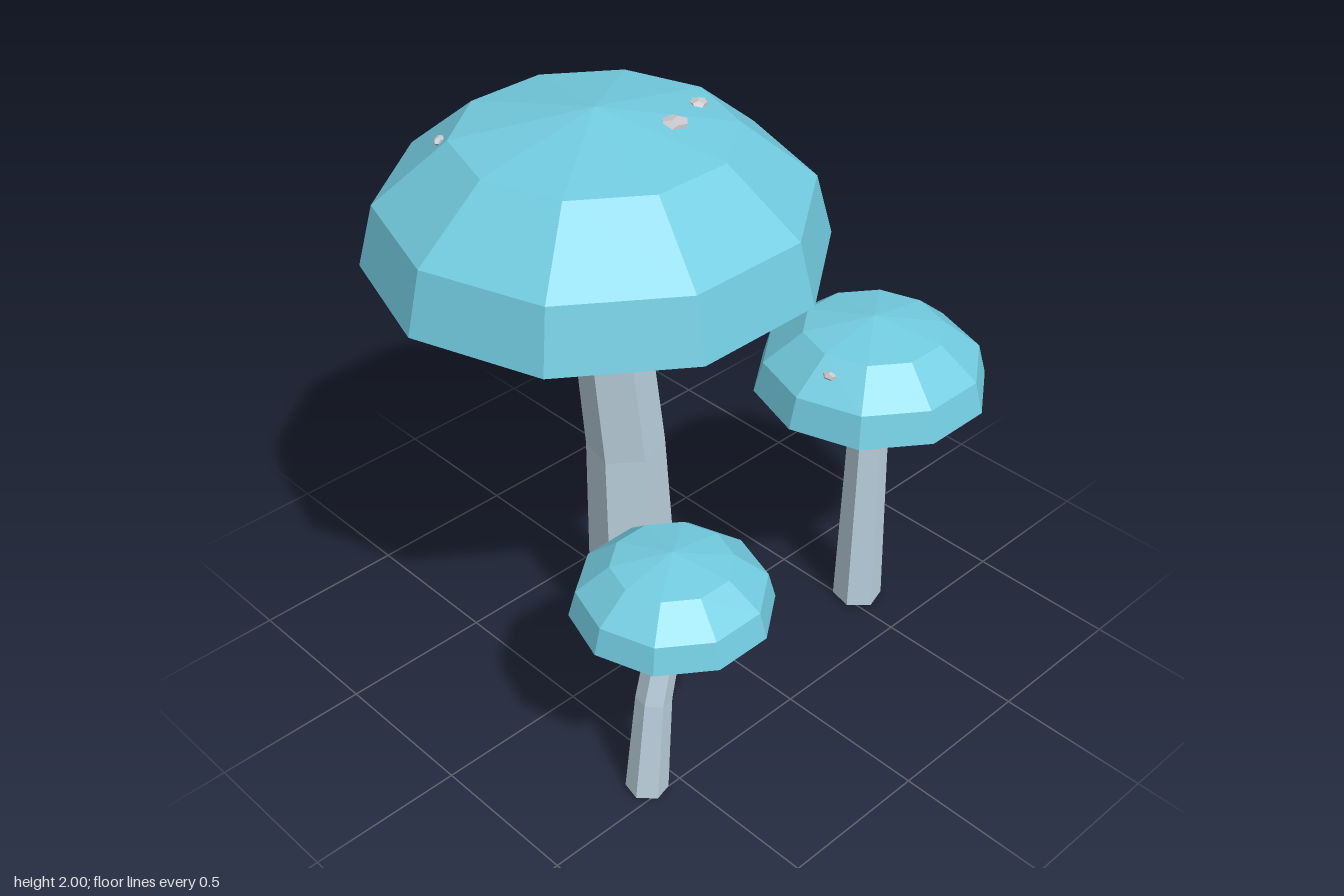
import * as THREE from 'three';

const mat = (name, color, extra = {}) => {
  const m = new THREE.MeshStandardMaterial({ color, flatShading: true, ...extra });
  m.name = name;
  return m;
};

export function createModel() {
  const capMat = mat('cap blue', 0x72cbdf);
  const gillMat = mat('gill blue', 0x237aae);
  const stemMat = mat('stem grey', 0xbacfdc);
  const pebbleMat = mat('pebble grey', 0xc9c9cd);
  const model = new THREE.Group();
  model.name = 'mushrooms';

  const add = (parent, name, geometry, material) => {
    const mesh = new THREE.Mesh(geometry, material);
    mesh.name = name;
    parent.add(mesh);
    return mesh;
  };

  // Ten-sided surface of revolution with a corner on the x axis
  const turned = (points) =>
    new THREE.LatheGeometry(points.map(([r, y]) => new THREE.Vector2(r, y)), 10, Math.PI / 2);

  // Six-sided bent stem: rings [x, y, radius], each tilted square to the spine
  const stem = (rings, z) => {
    const g = new THREE.CylinderGeometry(1, 1, 1, 6, 2, false, THREE.MathUtils.degToRad(47));
    const p = g.attributes.position;
    for (let i = 0; i < p.count; i++) {
      const j = Math.round((p.getY(i) + 0.5) * 2);
      const [x, y, r] = rings[j];
      const a = rings[Math.max(j - 1, 0)], b = rings[Math.min(j + 1, 2)];
      const lean = (b[0] - a[0]) / (b[1] - a[1]);
      const dx = p.getX(i) * r;
      p.setXYZ(i, x + dx, y - dx * lean, z + p.getZ(i) * r);
    }
    g.computeVertexNormals();
    return g;
  };

  // Cap profile in units of the largest cap
  const dome = [[0.56, -0.008], [0.685, 0], [0.635, 0.19], [0.41, 0.375], [0, 0.45]];
  const gills = [[0.2, -0.042], [0.56, -0.008]];
  const collar = [[0, -0.042], [0.2, -0.042]];

  const mushrooms = [
    { name: 'tallMushroom', cap: [-0.255, 1.55, -0.088], scale: 1, z: -0.085,
      rings: [[-0.14, 0.009, 0.151], [-0.17, 0.82, 0.124], [-0.25, 1.54, 0.11]] },
    { name: 'middleMushroom', cap: [0.552, 0.89, 0.293], scale: 0.555, z: 0.3,
      rings: [[0.55, 0.01, 0.083], [0.551, 0.45, 0.072], [0.552, 0.89, 0.062]] },
    { name: 'smallMushroom', cap: [-0.48, 0.665, 0.45], scale: 0.445, z: 0.457,
      rings: [[-0.598, 0.012, 0.066], [-0.565, 0.36, 0.055], [-0.494, 0.662, 0.049]] },
  ];
  for (const { name, cap, scale, z, rings } of mushrooms) {
    const group = new THREE.Group();
    group.name = name;
    add(group, 'stem', stem(rings, z), stemMat);
    const head = new THREE.Group();
    head.name = 'cap';
    head.position.set(...cap);
    head.scale.setScalar(scale);
    add(head, 'dome', turned(dome), capMat);
    add(head, 'gills', turned(gills), gillMat);
    add(head, 'collar', turned(collar), capMat);
    group.add(head);
    model.add(group);
  }

  // Pebbles half sunk in the caps: position, half sizes, turn
  const pebbles = [
    [[-0.105, 1.958, 0.075], [0.045, 0.014, 0.042], 0.3],
    [[0.055, 1.938, 0.005], [0.035, 0.014, 0.028], 0.8],
    [[-0.01, 1.818, -0.55], [0.056, 0.03, 0.048], -0.4],
    [[-0.575, 1.902, -0.382], [0.024, 0.014, 0.014], 0.6],
    [[0.29, 1.058, 0.345], [0.015, 0.014, 0.024], 0.2],
  ];
  for (const [pos, size, turn] of pebbles) {
    const pebble = add(model, 'pebble', new THREE.DodecahedronGeometry(1), pebbleMat);
    pebble.position.set(...pos);
    pebble.scale.set(...size);
    pebble.rotation.y = turn;
  }
  return model;
}
